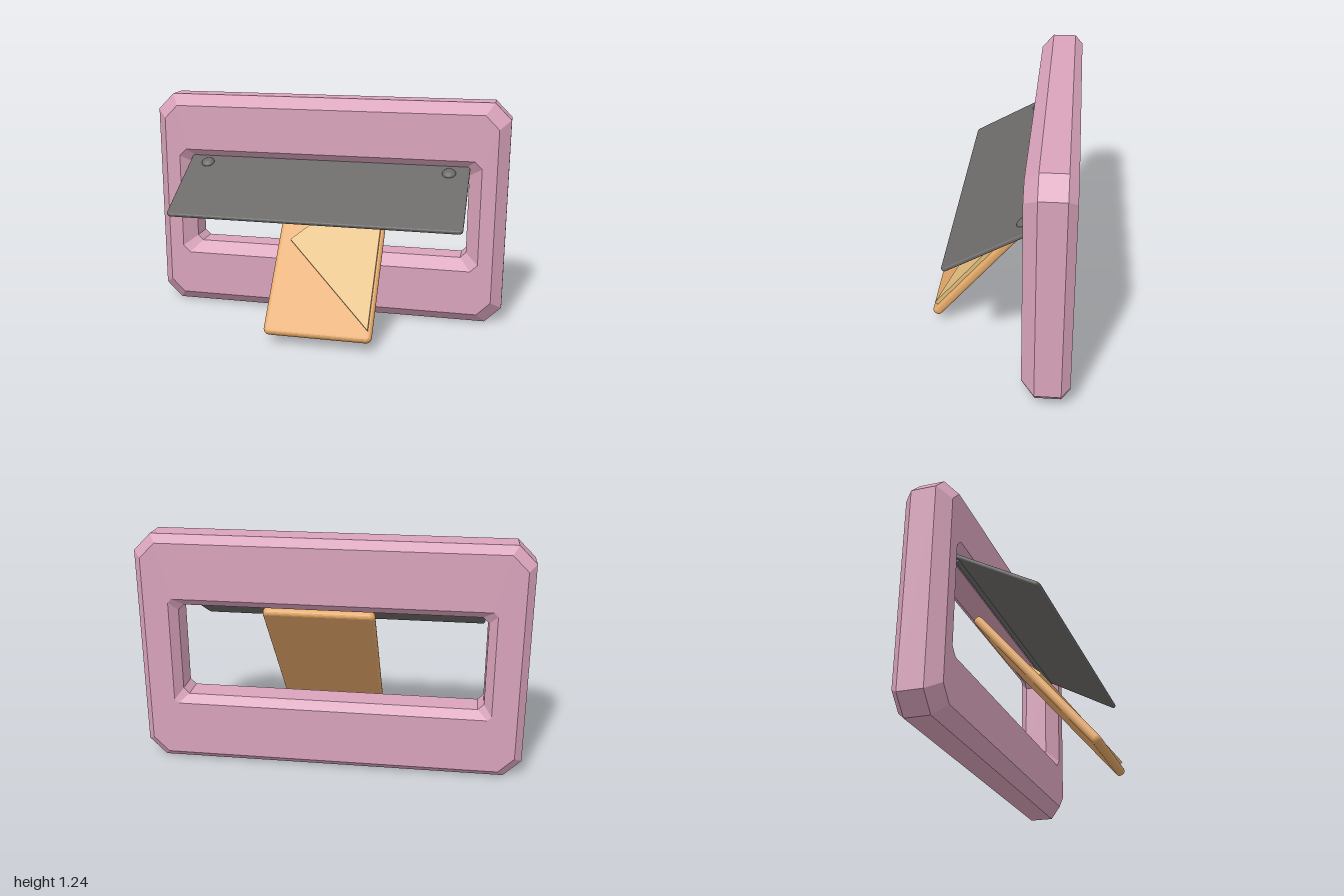
import * as THREE from 'three';

const mat = (name, color) => {
  const m = new THREE.MeshStandardMaterial({ color });
  m.name = name;
  return m;
};

const mesh = (name, geometry, material) => {
  const m = new THREE.Mesh(geometry, material);
  m.name = name;
  return m;
};

// Eight-cornered rectangle loop, counter-clockwise seen from the front
function cutRect(w, h, cut, z) {
  const cy = 0.62;
  return [
    [w, -h + cut], [w, h - cut], [w - cut, h], [-w + cut, h],
    [-w, h - cut], [-w, -h + cut], [-w + cut, -h], [w - cut, -h],
  ].map(([x, y]) => [x, y + cy, z]);
}

// Closed ring of loops with flat faces: outside, back, hole, front
function frameGeometry() {
  const loops = [
    cutRect(0.94, 0.56, 0.075, -0.14),
    cutRect(1.0, 0.62, 0.09, -0.205),
    cutRect(1.0, 0.62, 0.09, -0.335),
    cutRect(0.96, 0.58, 0.08, -0.378),
    cutRect(0.83, 0.29, 0.02, -0.378),
    cutRect(0.79, 0.25, 0.03, -0.335),
    cutRect(0.79, 0.25, 0.03, -0.205),
    cutRect(0.86, 0.31, 0.04, -0.14),
  ];
  const pos = [];
  loops.forEach((loop, k) => {
    const next = loops[(k + 1) % loops.length];
    for (let i = 0; i < 8; i++) {
      const j = (i + 1) % 8;
      const a = loop[i], b = loop[j], c = next[j], d = next[i];
      pos.push(...a, ...d, ...c, ...a, ...c, ...b);
    }
  });
  const g = new THREE.BufferGeometry();
  g.setAttribute('position', new THREE.Float32BufferAttribute(pos, 3));
  g.computeVertexNormals();
  return g;
}

// Thin slab with softened rims, centred on the origin
function slabGeometry(w, h, t, corner, bevel) {
  const x = w / 2 - bevel, y = h / 2 - bevel, r = corner;
  const s = new THREE.Shape();
  s.moveTo(x, -y + r);
  s.lineTo(x, y - r);
  s.absarc(x - r, y - r, r, 0, Math.PI / 2);
  s.absarc(-x + r, y - r, r, Math.PI / 2, Math.PI);
  s.absarc(-x + r, -y + r, r, Math.PI, Math.PI * 1.5);
  s.absarc(x - r, -y + r, r, Math.PI * 1.5, Math.PI * 2);
  const depth = t - 2 * bevel;
  const g = new THREE.ExtrudeGeometry(s, {
    depth, bevelEnabled: true, bevelSize: bevel, bevelThickness: bevel,
    bevelSegments: 4, curveSegments: 5,
  });
  return g.translate(0, 0, -depth / 2);
}

export function createModel() {
  const pink = mat('pink', 0xd9a3bb);
  const grey = mat('dark grey', 0x6a6968);
  const orange = mat('orange', 0xe2a768);
  const tan = mat('tan', 0xe0bc7c);

  const model = new THREE.Group();
  model.name = 'mailSlot';
  model.add(mesh('frame', frameGeometry(), pink));

  // Hinged flap, swung open
  const flap = new THREE.Group();
  flap.name = 'flap';
  flap.position.set(0, 0.763, 0.027);
  flap.rotation.x = -1.065;
  flap.add(mesh('flapPlate', slabGeometry(1.59, 0.51, 0.022, 0.015, 0.008), grey));
  for (const side of [-1, 1]) {
    const stud = mesh('stud', new THREE.SphereGeometry(0.037, 20, 12), grey);
    stud.scale.z = 0.5;
    stud.position.set(side * 0.685, 0.185, 0.011);
    flap.add(stud);
  }
  const rod = mesh('hingeRod', new THREE.CylinderGeometry(0.016, 0.016, 1.56, 12), grey);
  rod.rotation.z = Math.PI / 2;
  rod.position.set(0, 0.225, -0.012);
  flap.add(rod);
  model.add(flap);

  // Envelope leaning through the opening, with its triangular fold on top
  const envelope = new THREE.Group();
  envelope.name = 'envelope';
  envelope.position.set(0.068, 0.453, 0.036);
  envelope.rotation.x = -0.702;
  envelope.add(mesh('envelopeBody', slabGeometry(0.58, 1.04, 0.05, 0.01, 0.02), orange));
  const fold = new THREE.Shape([
    new THREE.Vector2(-0.218, 0.015),
    new THREE.Vector2(0.27, -0.466),
    new THREE.Vector2(0.27, 0.49),
  ]);
  const foldGeometry = new THREE.ExtrudeGeometry(fold, { depth: 0.022, bevelEnabled: false });
  const foldMesh = mesh('envelopeFold', foldGeometry, tan);
  foldMesh.position.z = 0.023;
  envelope.add(foldMesh);
  model.add(envelope);

  return model;
}
